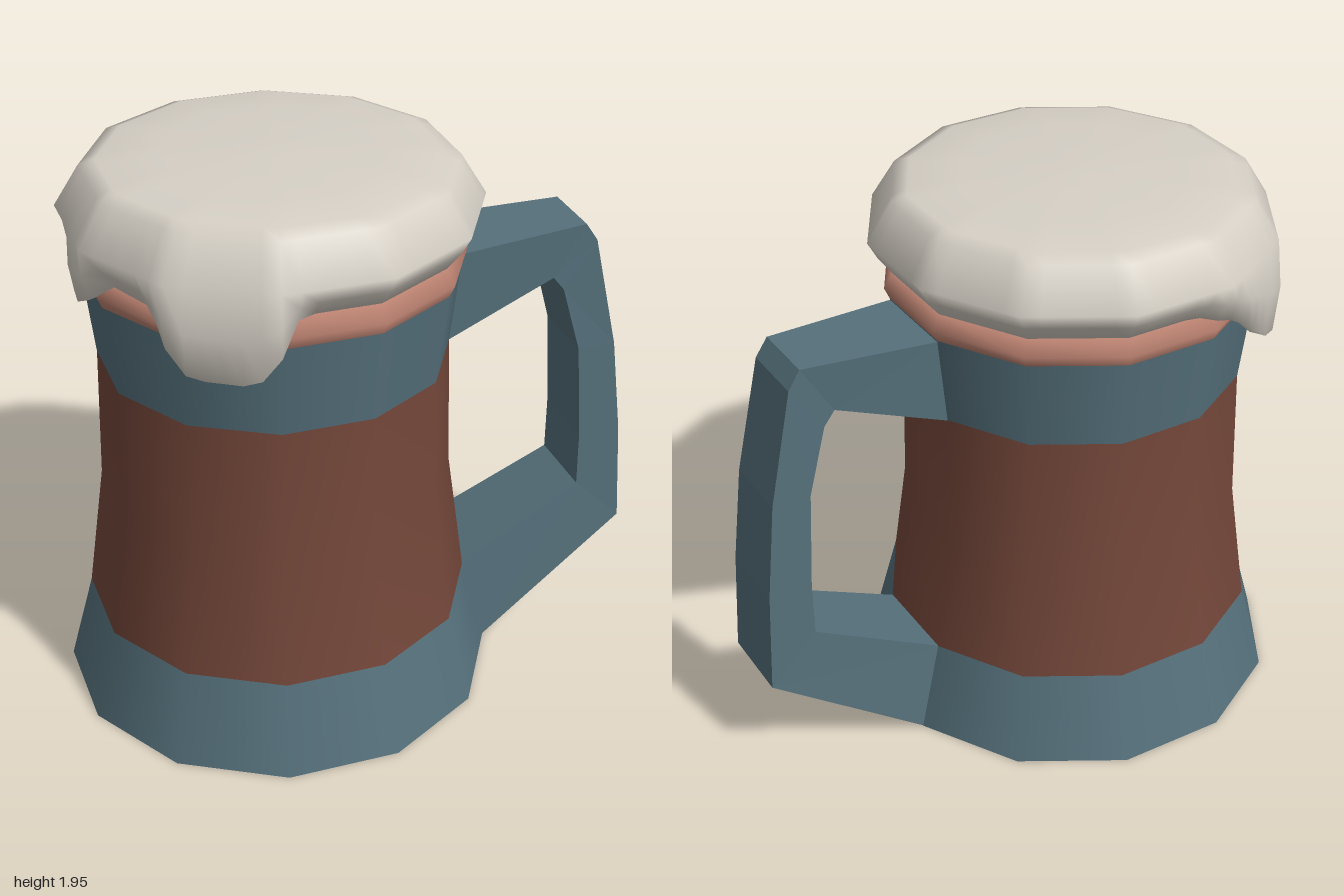
import * as THREE from 'three';

const rad = THREE.MathUtils.degToRad;
const TURN = 1.7; // small twist of the twelve-sided body, in degrees
const paint = (color, extra = {}) => new THREE.MeshStandardMaterial({ color, ...extra });

function addMesh(group, name, geometry, material) {
  const mesh = new THREE.Mesh(geometry, material);
  mesh.name = name;
  group.add(mesh);
  return mesh;
}

// Twelve-sided ring turned from a profile of [radius, height]
function turned(profile) {
  const points = profile.map(([r, y]) => new THREE.Vector2(r, y));
  return new THREE.LatheGeometry(points, 12, rad(-TURN));
}

// Four-cornered sections, swept from the top root to the bottom root
function handleGeometry() {
  // [outer reach, outer y, outer half width, inner reach, inner y, inner half width]
  const sections = [
    [0.6, 1.555, 0.163, 0.565, 1.235, 0.153],
    [1.077, 1.575, 0.12, 0.965, 1.39, 0.12],
    [1.12, 1.51, 0.122, 1.005, 1.34, 0.122],
    [1.21, 1.1, 0.13, 1.073, 1.1, 0.13],
    [1.25, 0.75, 0.137, 1.095, 0.75, 0.137],
    [1.27, 0.38, 0.142, 1.095, 0.55, 0.14],
    [0.722, 0, 0.194, 0.64, 0.32, 0.172],
  ];
  const pos = [], index = [];
  sections.forEach(([uo, yo, ho, ui, yi, hi], i) => {
    pos.push(uo, yo, ho, uo, yo, -ho, ui, yi, -hi, ui, yi, hi);
    if (i === 0) return;
    for (let k = 0; k < 4; k++) {
      const n = (k + 1) % 4, p = (i - 1) * 4, q = i * 4;
      index.push(p + k, q + k, q + n, p + k, q + n, p + n);
    }
  });
  const g = new THREE.BufferGeometry();
  g.setAttribute('position', new THREE.Float32BufferAttribute(pos, 3));
  g.setIndex(index);
  g.computeVertexNormals();
  return g;
}

// Height of the foam's lower edge around the rim: [angle, y]
const hem = [
  [0, 1.655], [116, 1.66], [122, 1.56], [128, 1.46], [146, 1.465], [152, 1.57], [160, 1.64],
  [178, 1.65], [184, 1.57], [193, 1.58], [201, 1.655], [229, 1.655], [236, 1.45], [245, 1.43],
  [257, 1.54], [266, 1.61], [278, 1.655], [360, 1.655],
];

function hemHeight(angle) {
  const i = hem.findIndex(([a]) => a > angle);
  const [a0, y0] = hem[i - 1], [a1, y1] = hem[i];
  return THREE.MathUtils.lerp(y0, y1, (angle - a0) / (a1 - a0));
}

// Domed cap whose skirt runs down into drips
function foamGeometry() {
  const segs = 72, pos = [], index = [];
  let rings = 0;
  for (let i = 0; i < segs; i++) {
    const step = (i * 360) / segs, angle = step + TURN;
    const side = Math.cos(rad(15)) / Math.cos(rad((step % 30) - 15)); // flat sides
    const y = hemHeight(angle % 360);
    const drip = Math.min(1, (1.655 - Math.min(y, 1.655)) / 0.08);
    const profile = [
      [0, 1.953], [0.38, 1.947], [0.56, 1.93], [0.615, 1.91], [0.698, 1.775],
      [0.665 + 0.05 * drip, (1.775 + y) / 2],
      [0.62 + 0.08 * drip, y],
      [0.6 + 0.045 * drip, y + 0.005],
      [0.59, 1.66],
    ];
    rings = profile.length;
    for (const [r, h] of profile)
      pos.push(r * side * Math.cos(rad(angle)), h, r * side * Math.sin(rad(angle)));
  }
  for (let i = 0; i < segs; i++) {
    for (let j = 0; j < rings - 1; j++) {
      const a = i * rings + j, b = ((i + 1) % segs) * rings + j;
      if (j > 0) index.push(a, b, a + 1);
      index.push(b, b + 1, a + 1);
    }
  }
  const g = new THREE.BufferGeometry();
  g.setAttribute('position', new THREE.Float32BufferAttribute(pos, 3));
  g.setIndex(index);
  g.computeVertexNormals();
  return g;
}

export function createModel() {
  const mug = new THREE.Group();
  mug.name = 'mug';
  mug.position.x = -0.255;

  const metal = paint(0x55707b);
  const wood = paint(0x74473a);
  const clay = paint(0xb9806f, { side: THREE.DoubleSide });

  // Body bands, from the ground up
  addMesh(mug, 'bottom', turned([[0, 0], [0.75, 0]]), metal);
  addMesh(mug, 'lowerBand', turned([[0.75, 0], [0.665, 0.32]]), metal);
  addMesh(mug, 'barrel', turned([[0.665, 0.32], [0.603, 0.77], [0.592, 1.24]]), wood);
  addMesh(mug, 'upperBand', turned([[0.592, 1.24], [0.63, 1.56]]), metal);
  addMesh(mug, 'rim', turned([[0.63, 1.56], [0.648, 1.6], [0.62, 1.655], [0.5, 1.655]]), clay);

  // Handle, set square on one side of the body
  const handle = addMesh(mug, 'handle', handleGeometry(), paint(0x55707b, { flatShading: true }));
  handle.rotation.y = -rad(15 + TURN);

  // Foam with three drips
  addMesh(mug, 'foam', foamGeometry(), paint(0xd6d0c6, { side: THREE.DoubleSide }));

  const model = new THREE.Group();
  model.name = 'foamingMug';
  model.add(mug);
  return model;
}
